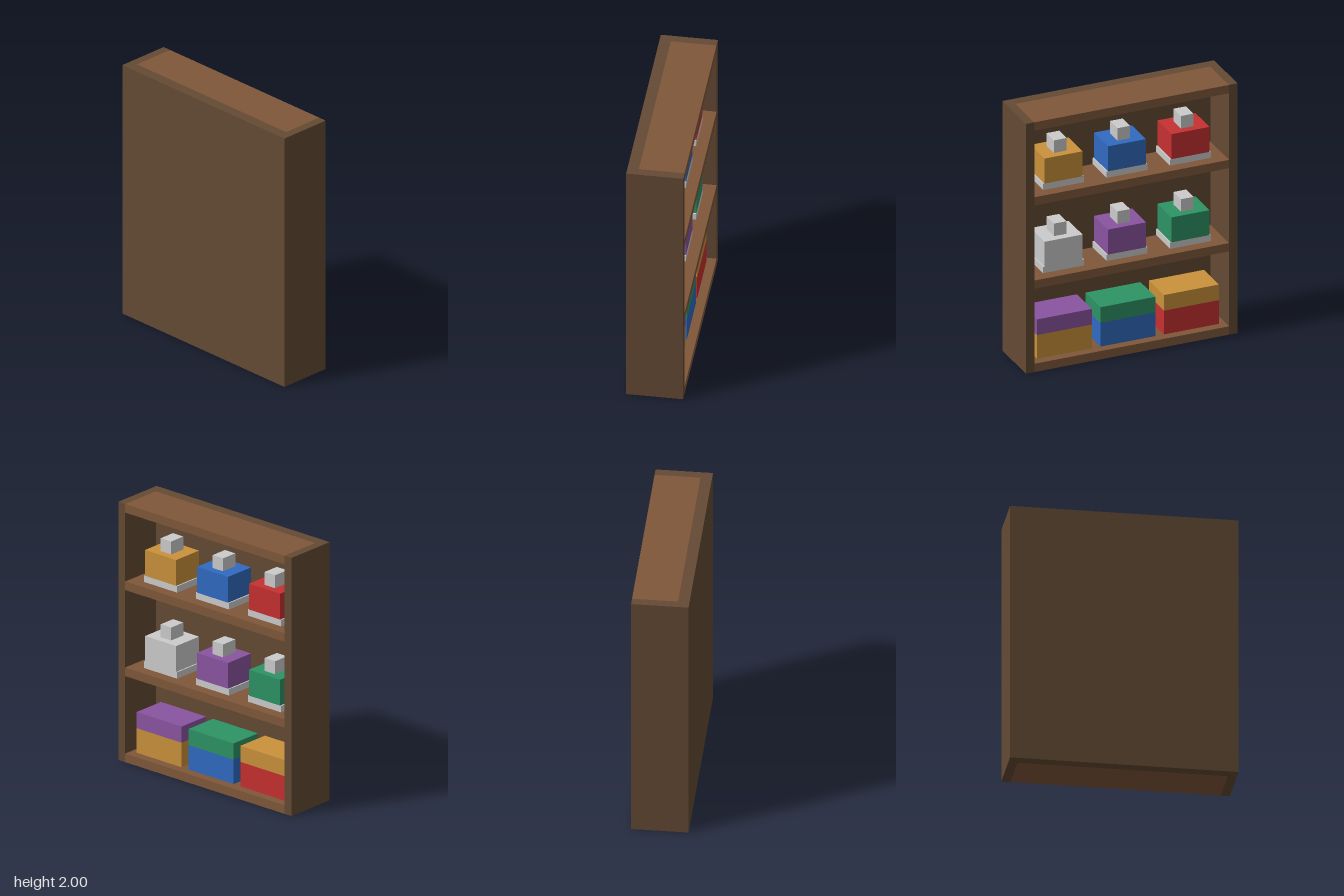
import * as THREE from 'three';

const COLORS = {
  frame: 0x644a34, board: 0x80573a, grey: 0xcccccc, orange: 0xca913a,
  blue: 0x306ac0, red: 0xc63030, purple: 0x8a54a0, green: 0x2d9364,
};
const materials = {};
for (const key in COLORS) materials[key] = new THREE.MeshStandardMaterial({ color: COLORS[key] });

// Box resting on height y
function box(parent, name, color, [w, h, d], x, y, z) {
  const mesh = new THREE.Mesh(new THREE.BoxGeometry(w, h, d), materials[color]);
  mesh.name = name;
  mesh.position.set(x, y + h / 2, z);
  parent.add(mesh);
  return mesh;
}

// Jar: base plate, coloured body and stopper
function jar(color, x, y) {
  const g = new THREE.Group();
  g.name = 'jar';
  g.position.set(x, y, 0);
  box(g, 'jarBase', 'grey', [0.32, 0.05, 0.25], 0, 0, 0);
  box(g, 'jarBody', color, [0.3, 0.2, 0.25], 0, 0.05, 0);
  box(g, 'jarStopper', 'grey', [0.1, 0.1, 0.133], 0, 0.25, 0);
  return g;
}

// Storage box: coloured lower part and lid
function storageBox(lower, lid, x, y) {
  const g = new THREE.Group();
  g.name = 'storageBox';
  g.position.set(x, y, -0.008);
  box(g, 'boxLower', lower, [0.433, 0.19, 0.266], 0, 0, 0);
  box(g, 'boxLid', lid, [0.433, 0.125, 0.266], 0, 0.19, 0);
  return g;
}

export function createModel() {
  const model = new THREE.Group();
  model.name = 'shelfUnit';
  const W = 1.6667, H = 2, D = 0.4167, T = 0.0667, B = 0.0833;

  // Closed panel at +z, open side at -z
  box(model, 'backPanel', 'frame', [W - 2 * T, H, B], 0, 0, D / 2 - B / 2);
  for (const s of [1, -1])
    box(model, s > 0 ? 'leftPanel' : 'rightPanel', 'frame', [T, H, D], s * (W - T) / 2, 0, 0);

  // Bottom, two shelves and top
  const levels = [0, 0.6667, 1.3333, H - T];
  const names = ['bottomBoard', 'lowerShelf', 'upperShelf', 'topBoard'];
  levels.forEach((y, i) =>
    box(model, names[i], 'board', [W - 2 * T, T, D - B], 0, y, -B / 2));

  // Contents, three per level
  const boxes = [['orange', 'purple'], ['blue', 'green'], ['red', 'orange']];
  const jars = [['grey', 'purple', 'green'], ['orange', 'blue', 'red']];
  for (let i = 0; i < 3; i++) {
    const x = 0.5 - 0.5 * i;
    model.add(storageBox(...boxes[i], x, T));
    jars.forEach((row, r) => model.add(jar(row[i], x, levels[r + 1] + T)));
  }
  return model;
}
